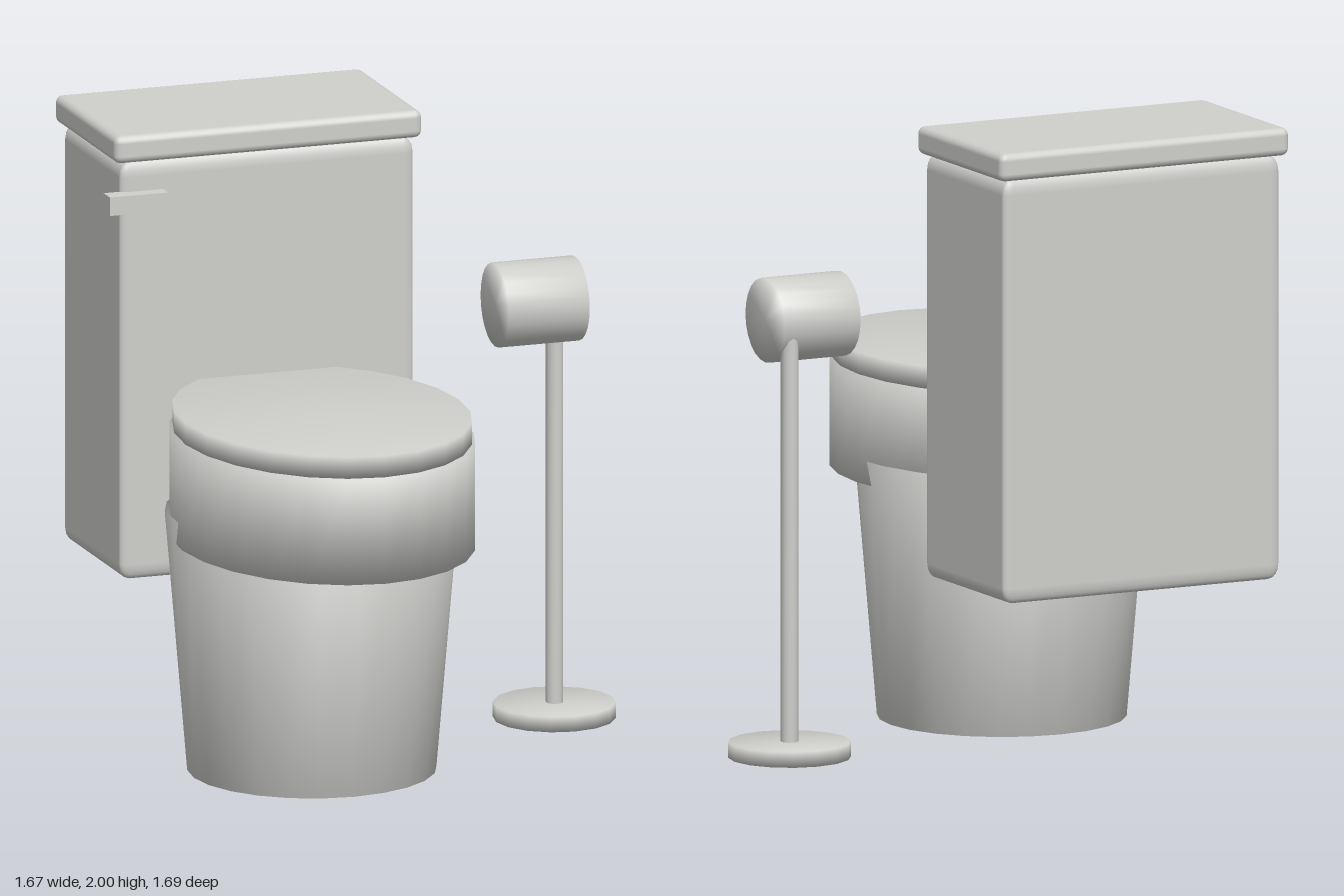
import * as THREE from 'three';
import { mergeVertices } from 'three/addons/utils/BufferGeometryUtils.js';
import { RoundedBoxGeometry } from 'three/addons/geometries/RoundedBoxGeometry.js';

const porcelain = new THREE.MeshStandardMaterial({ color: 0xcfcfcc });
porcelain.name = 'porcelain grey';

export function createModel() {
  const group = new THREE.Group();

  const add = (name, geometry, x, y, z) => {
    const mesh = new THREE.Mesh(geometry, porcelain);
    mesh.name = name;
    mesh.position.set(x, y, z);
    group.add(mesh);
    return mesh;
  };

  // Closed cylinder whose normals run smoothly over the cap edges
  const softCylinder = (rTop, rBottom, height, sides, stretchZ = 1) => {
    const g = new THREE.CylinderGeometry(rTop, rBottom, height, sides);
    g.deleteAttribute('normal');
    g.deleteAttribute('uv');
    g.scale(1, 1, stretchZ);
    const merged = mergeVertices(g, 1e-4);
    merged.computeVertexNormals();
    return merged;
  };

  // Bowl: round tapered pedestal, oval rim and oval seat lid
  const cx = -0.295;
  add('pedestal', softCylinder(0.466, 0.395, 0.845, 24), cx, 0.4225, 0.14);
  add('bowlRim', softCylinder(0.467, 0.467, 0.345, 24, 0.606 / 0.467), cx, 0.9425, 0.238);
  add('seatLid', softCylinder(0.457, 0.457, 0.07, 24, 0.597 / 0.457), cx, 1.15, 0.238);

  // Water tank with bevels stretched along its height
  const tankBody = new RoundedBoxGeometry(1, 1, 1, 2, 0.036);
  tankBody.scale(0.985, 1.36, 0.545);
  add('tank', tankBody, cx, 1.23, -0.55);
  add('tankLid', new RoundedBoxGeometry(1.03, 0.09, 0.585, 2, 0.024), cx, 1.955, -0.553);
  add('flushHandle', new THREE.BoxGeometry(0.195, 0.06, 0.06), -0.7425, 1.785, -0.26);

  // Paper stand: disc foot, pole and a roll lying along x
  add('standBase', softCylinder(0.195, 0.195, 0.05, 16), 0.64, 0.025, -0.205);
  add('standPole', softCylinder(0.028, 0.028, 1.36, 12), 0.64, 0.71, -0.205);
  add('paperRoll', softCylinder(0.135, 0.135, 0.27, 24), 0.54, 1.388, -0.105).rotation.z = Math.PI / 2;

  return group;
}
